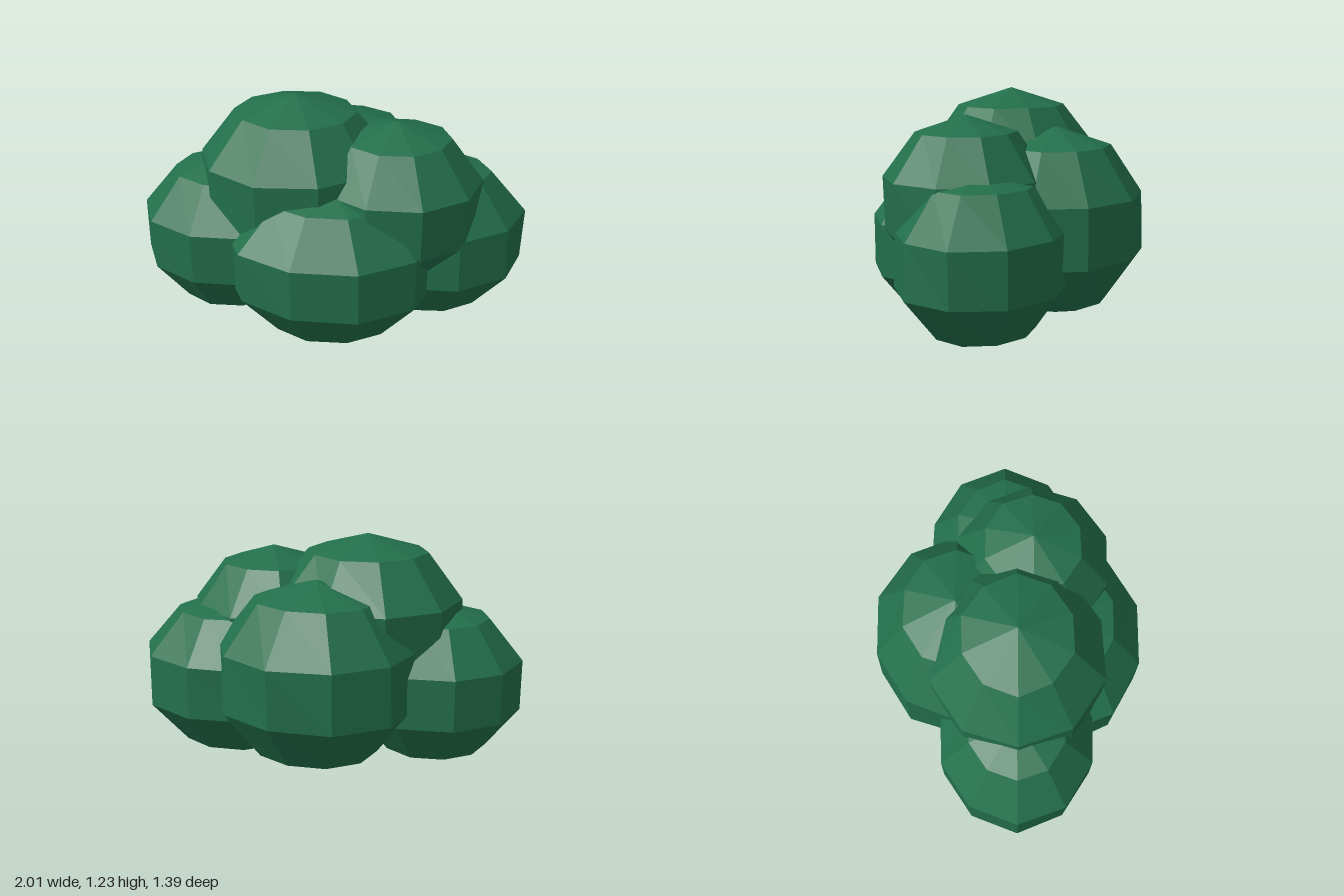
import * as THREE from 'three';

// name, centre [x, y, z], radii [x, y, z]
const CLUMPS = [
  ['rightClump', [-0.55, 0.46, 0.03], [0.473, 0.434, 0.43]],
  ['leftClump', [0.51, 0.457, -0.02], [0.515, 0.44, 0.44]],
  ['backClump', [0.02, 0.555, -0.27], [0.54, 0.495, 0.465]],
  ['frontClump', [0.01, 0.435, 0.285], [0.56, 0.435, 0.443]],
  ['topClump', [-0.19, 0.76, 0.035], [0.526, 0.47, 0.476]],
  ['upperLeftClump', [0.33, 0.69, 0.12], [0.463, 0.44, 0.43]],
];

// Faceted ball whose rings stay level but bulge slightly sideways
function clumpGeometry(radii, seed) {
  const geo = new THREE.SphereGeometry(1, 10, 5);
  const p = geo.attributes.position;
  for (let i = 0; i < p.count; i++) {
    const x = p.getX(i), y = p.getY(i), z = p.getZ(i);
    const bulge = 1 + 0.015 * Math.sin(5 * x + 3 * y + 7 * z + seed * 2.1);
    p.setXYZ(i, x * bulge * radii[0], y * radii[1], z * bulge * radii[2]);
  }
  geo.computeVertexNormals();
  return geo;
}

export function createModel() {
  const bush = new THREE.Group();
  bush.name = 'bush';
  const leafGreen = new THREE.MeshStandardMaterial({ color: 0x236f4c, flatShading: true });
  leafGreen.name = 'leafGreen';

  CLUMPS.forEach(([name, centre, radii], i) => {
    const clump = new THREE.Mesh(clumpGeometry(radii, i), leafGreen);
    clump.name = name;
    clump.position.set(...centre);
    bush.add(clump);
  });
  return bush;
}
